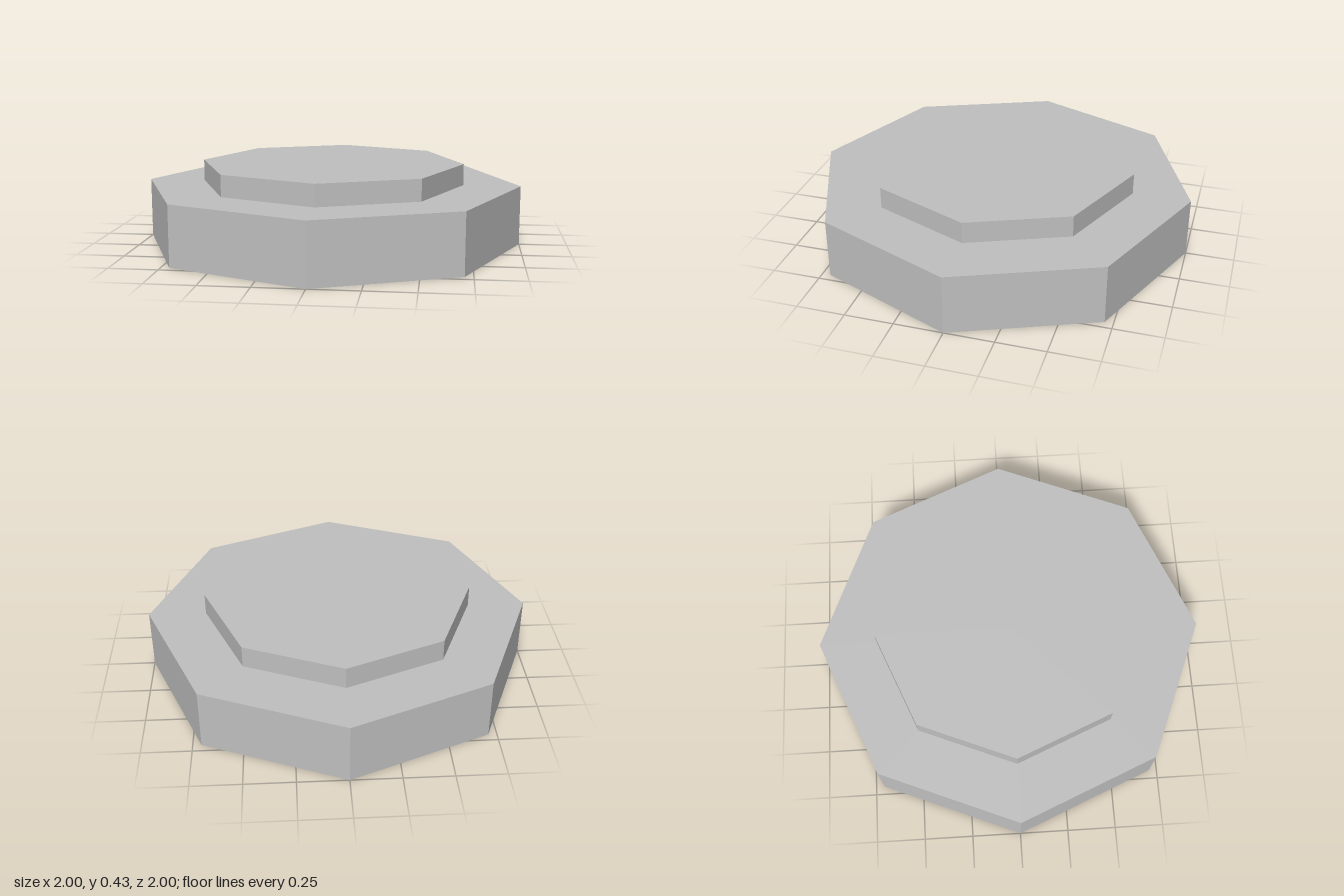
import * as THREE from 'three';

export function createModel() {
  const group = new THREE.Group();
  group.name = 'steppedOctagonalPlinth';

  const grey = new THREE.MeshStandardMaterial({ color: 0xc0c0c0, flatShading: true });
  grey.name = 'light grey';

  // Eight-sided slab with a corner facing the front
  const addSlab = (name, radius, bottom, top) => {
    const slab = new THREE.Mesh(new THREE.CylinderGeometry(radius, radius, top - bottom, 8), grey);
    slab.name = name;
    slab.position.y = (bottom + top) / 2;
    group.add(slab);
  };

  addSlab('base', 1, 0, 0.3125);
  addSlab('upperStep', 0.7, 0.3125, 0.425);

  return group;
}
